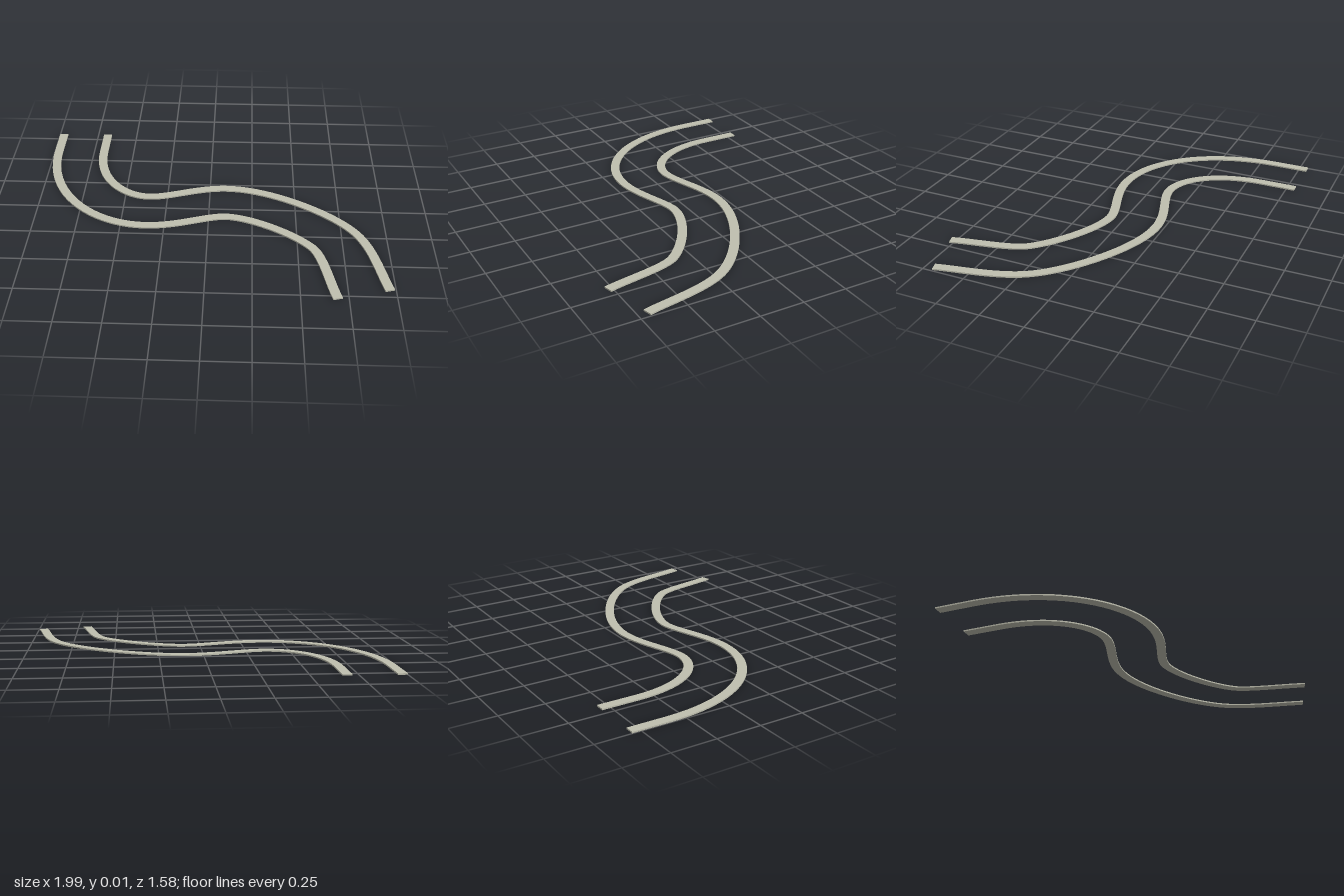
import * as THREE from 'three';

const HALF_GAP = 0.143; // road centre to kerb centre
const WIDTH = 0.052;
const HEIGHT = 0.008;
const STEPS = 20; // samples per curve section

// Winding centre line of the road, as [x, z] pairs
function roadSamples() {
  const v = (x, z) => new THREE.Vector2(x, z);
  const start = v(-0.83, -0.8), straightEnd = v(-0.83, -0.59);
  const dip = v(-0.355, 0.035), crest = v(0.095, -0.065);
  const bend = v(0.71, 0.29), end = v(0.83, 0.74);
  const sections = [
    new THREE.LineCurve(start, straightEnd),
    new THREE.CubicBezierCurve(straightEnd, v(-0.83, -0.19), v(-0.585, 0.035), dip),
    new THREE.CubicBezierCurve(dip, v(-0.2, 0.035), v(-0.05, -0.065), crest),
    new THREE.CubicBezierCurve(crest, v(0.305, -0.065), v(0.62, 0.145), bend),
    new THREE.CubicBezierCurve(bend, v(0.78, 0.403), v(0.795, 0.61), end),
  ];
  const samples = [];
  sections.forEach((curve, s) => {
    const n = s === 0 ? 1 : STEPS;
    for (let i = s === 0 ? 0 : 1; i <= n; i++) {
      samples.push({ p: curve.getPoint(i / n), t: curve.getTangent(i / n) });
    }
  });
  return samples;
}

// Centre line moved sideways by a fixed distance; shape y is -z
function offsetLine(samples, d) {
  return samples.map(({ p, t }) => new THREE.Vector2(p.x + t.y * d, -(p.y - t.x * d)));
}

// Flat strip following the road at a sideways offset
function kerb(name, samples, offset, material) {
  const outline = [
    ...offsetLine(samples, offset + WIDTH / 2),
    ...offsetLine(samples, offset - WIDTH / 2).reverse(),
  ];
  const geometry = new THREE.ExtrudeGeometry(new THREE.Shape(outline), {
    depth: HEIGHT,
    bevelEnabled: false,
  });
  geometry.rotateX(-Math.PI / 2);
  const mesh = new THREE.Mesh(geometry, material);
  mesh.name = name;
  return mesh;
}

export function createModel() {
  const group = new THREE.Group();
  group.name = 'windingRoadKerbs';
  const material = new THREE.MeshStandardMaterial({ color: 0xbfbfaf });
  const samples = roadSamples();
  group.add(kerb('leftKerb', samples, HALF_GAP, material));
  group.add(kerb('rightKerb', samples, -HALF_GAP, material));
  return group;
}
